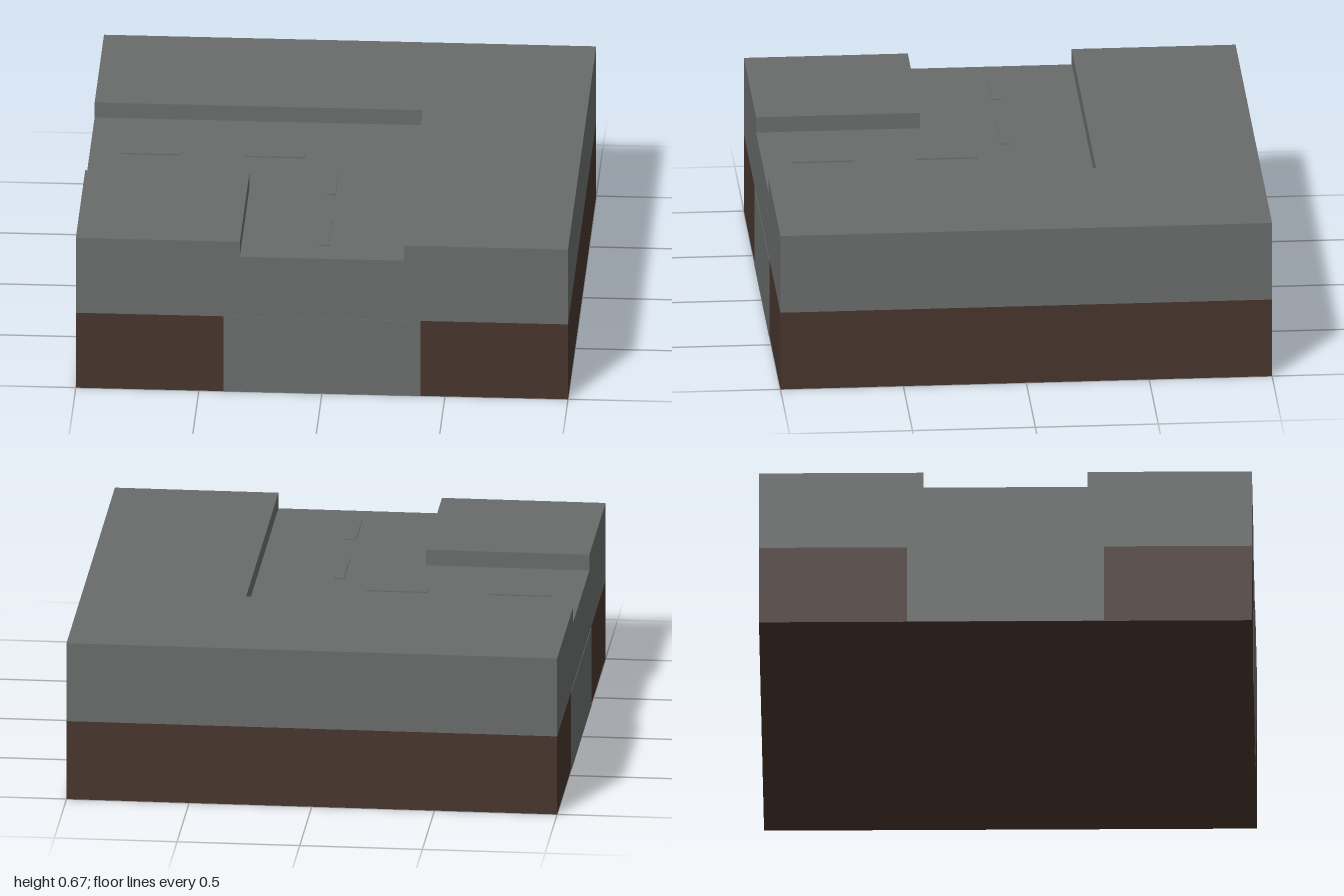
import * as THREE from 'three';

const stone = new THREE.MeshStandardMaterial({ color: 0x686b6a });
stone.name = 'stone grey';
const soil = new THREE.MeshStandardMaterial({ color: 0x46342c });
soil.name = 'soil brown';

const SOIL_TOP = 1 / 3, ROAD_TOP = 0.6, KERB_TOP = 2 / 3, ROAD_HALF = 1 / 3;

// Box placed by its centre in plan and its bottom and top heights
function slab(name, material, x, z, width, depth, bottom, top) {
  const mesh = new THREE.Mesh(new THREE.BoxGeometry(width, top - bottom, depth), material);
  mesh.name = name;
  mesh.position.set(x, (bottom + top) / 2, z);
  return mesh;
}

export function createModel() {
  const model = new THREE.Group();
  model.name = 'roadCornerTile';

  // Ground layers
  model.add(slab('soilBase', soil, 0, 0, 2, 2, 0, SOIL_TOP));
  model.add(slab('roadBed', stone, 0, 0, 2, 2, SOIL_TOP, ROAD_TOP));

  // L-shaped pavement around the outside of the bend, outline in x and z
  const outline = [[-1, -1], [1, -1], [1, 1], [ROAD_HALF, 1], [ROAD_HALF, -ROAD_HALF], [-1, -ROAD_HALF]];
  const shape = new THREE.Shape(outline.map(([x, z]) => new THREE.Vector2(x, -z)));
  const kerb = new THREE.ExtrudeGeometry(shape, { depth: KERB_TOP - ROAD_TOP, bevelEnabled: false });
  kerb.rotateX(-Math.PI / 2);
  const outerPavement = new THREE.Mesh(kerb, stone);
  outerPavement.name = 'outerPavement';
  outerPavement.position.y = ROAD_TOP;
  model.add(outerPavement);

  // Square pavement on the inside of the bend
  model.add(slab('innerPavement', stone, -2 / 3, 2 / 3, 2 / 3, 2 / 3, ROAD_TOP, KERB_TOP));

  // Stone facing below each open road end
  model.add(slab('frontFacing', stone, 0, 1, 0.8, 0.004, 0, SOIL_TOP));
  model.add(slab('sideFacing', stone, -1, 0, 0.004, 0.8, 0, SOIL_TOP));

  // Thin raised lane dashes along both arms of the road
  for (const d of [0.25, 0.75]) {
    model.add(slab('laneDash', stone, -d, 0, 0.25, 0.04, ROAD_TOP, ROAD_TOP + 0.005));
    model.add(slab('laneDash', stone, 0, d, 0.04, 0.25, ROAD_TOP, ROAD_TOP + 0.005));
  }
  return model;
}
